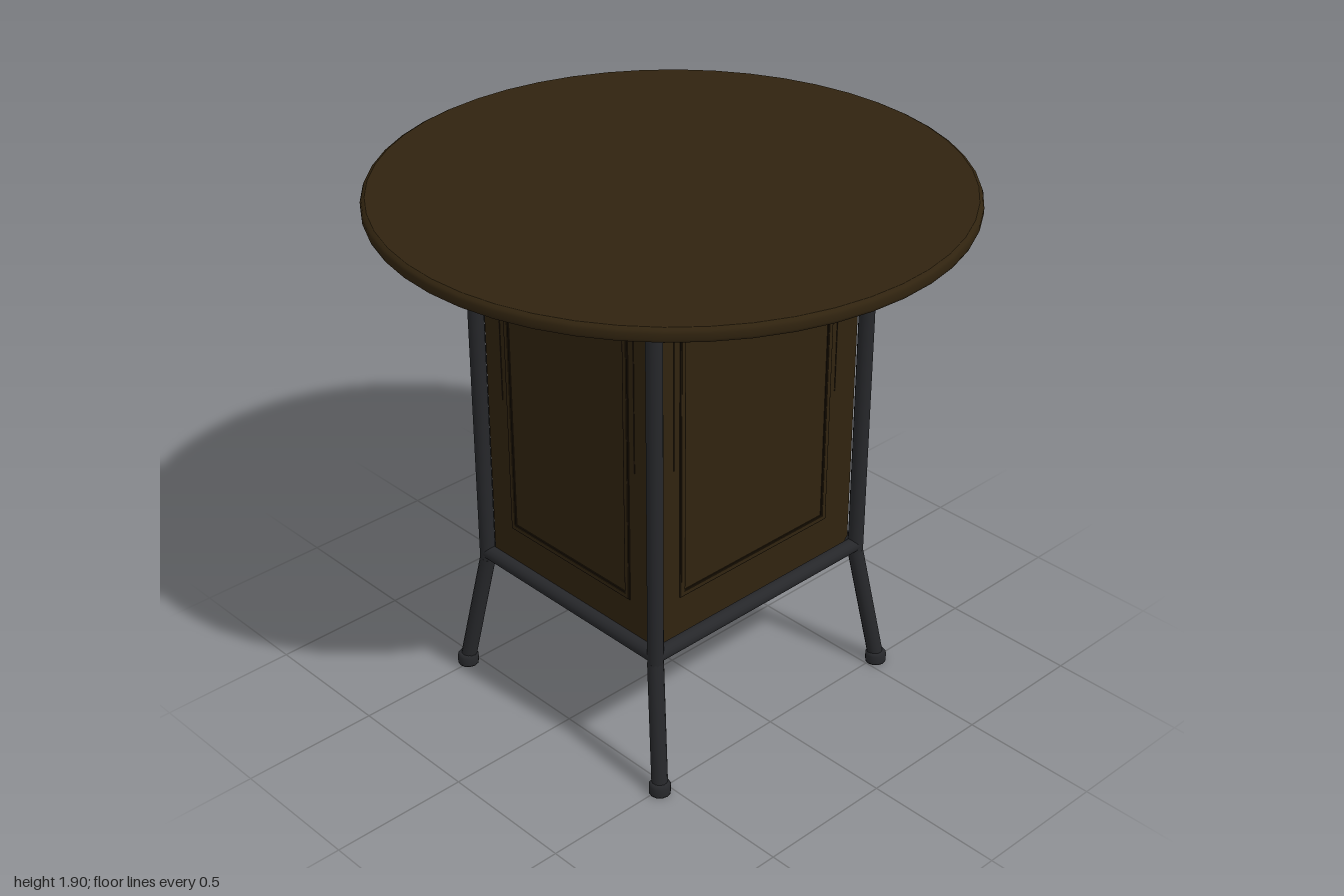
import * as THREE from 'three';

const wood = new THREE.MeshStandardMaterial({ color: 0x30230f });
wood.name = 'dark brown wood';
const groove = new THREE.MeshStandardMaterial({ color: 0x1e1508 });
groove.name = 'groove brown';
const metal = new THREE.MeshStandardMaterial({ color: 0x26272a });
metal.name = 'dark grey metal';

const LX = 0.432, LZ = 0.487, R = 0.028; // frame corner position, tube radius

function add(parent, name, geometry, material, x = 0, y = 0, z = 0) {
  const mesh = new THREE.Mesh(geometry, material);
  mesh.name = name;
  mesh.position.set(x, y, z);
  parent.add(mesh);
  return mesh;
}

// Straight tube between two points
function rod(parent, name, a, b, radius) {
  const dir = b.clone().sub(a);
  const mesh = add(parent, name, new THREE.CylinderGeometry(radius, radius, dir.length(), 12), metal);
  mesh.position.copy(a).add(b).multiplyScalar(0.5);
  mesh.quaternion.setFromUnitVectors(new THREE.Vector3(0, 1, 0), dir.normalize());
  return mesh;
}

// Flat rectangular ring with a thin depth
function ring(halfW, y0, y1, t, depth) {
  const rect = (Type, w, a, b) => new Type([
    new THREE.Vector2(-w, a), new THREE.Vector2(w, a), new THREE.Vector2(w, b), new THREE.Vector2(-w, b)]);
  const shape = rect(THREE.Shape, halfW, y0, y1);
  shape.holes.push(rect(THREE.Path, halfW - t, y0 + t, y1 - t));
  return new THREE.ExtrudeGeometry(shape, { depth, bevelEnabled: false });
}

// Moulding on one cabinet face, built facing +z
function panelTrim(name, half, distance, angle, band) {
  const g = new THREE.Group();
  g.name = name;
  add(g, 'mouldingOuterLine', ring(half, 0.65, 1.722, 0.005, 0.004), groove, 0, 0, distance);
  add(g, 'moulding', ring(half - 0.005, 0.655, 1.717, 0.013, 0.006), wood, 0, 0, distance);
  add(g, 'mouldingInnerLine', ring(half - 0.018, 0.668, 1.704, 0.005, 0.004), groove, 0, 0, distance);
  add(g, 'upperLine', new THREE.BoxGeometry(half * 2 + 0.05, 0.004, 0.004), groove, 0, 1.75, distance);
  for (const s of [-1, 1]) {
    add(g, 'sideLine', new THREE.BoxGeometry(0.004, 0.6, 0.004), groove, s * (half + 0.025), 1.45, distance);
  }
  // Worn grey band under the table top
  add(g, 'upperBand', new THREE.BoxGeometry(half * 2 + 0.2, band, 0.005), metal, 0, 1.838 - band / 2, distance);
  g.rotation.y = angle;
  return g;
}

export function createModel() {
  const model = new THREE.Group();
  model.name = 'roundTable';

  // Round top with softened rim
  const rim = [[0, 1.85], [0.985, 1.85], [0.996, 1.856], [1, 1.866], [1, 1.884], [0.996, 1.894], [0.985, 1.9], [0, 1.9]];
  const topProfile = rim.map(([x, y]) => new THREE.Vector2(x, y));
  const lower = new THREE.LatheGeometry(topProfile.slice(0, 2), 48);
  const edge = new THREE.LatheGeometry(topProfile.slice(1, 7), 48);
  const upper = new THREE.LatheGeometry(topProfile.slice(6), 48);
  add(model, 'tableTopUnderside', lower, wood);
  add(model, 'tableTopRim', edge, wood);
  add(model, 'tableTopSurface', upper, wood);

  // Cabinet body and its four trimmed faces
  add(model, 'cabinet', new THREE.BoxGeometry(0.804, 1.355, 0.95), wood, 0, 1.162, 0);
  for (const i of [0, 1]) {
    model.add(panelTrim(i ? 'backPanel' : 'frontPanel', 0.3, 0.475, i * Math.PI, 0.03));
    model.add(panelTrim(i ? 'leftPanel' : 'rightPanel', 0.35, 0.402, Math.PI / 2 + i * Math.PI, 0.075));
  }

  // Tubular legs: upright post, bend, splayed lower leg and foot
  for (const sx of [-1, 1]) for (const sz of [-1, 1]) {
    const leg = new THREE.Group();
    leg.name = 'leg';
    const bend = new THREE.Vector3(sx * LX, 0.47, sz * LZ);
    rod(leg, 'post', bend, new THREE.Vector3(sx * LX, 1.85, sz * LZ), R);
    add(leg, 'bend', new THREE.SphereGeometry(R, 12, 8), metal, bend.x, bend.y, bend.z);
    rod(leg, 'lowerLeg', bend, new THREE.Vector3(sx * 0.508, 0.02, sz * 0.541), R);
    const foot = [[0, 0], [0.037, 0], [0.038, 0.006], [0.038, 0.034], [0.03, 0.045], [0, 0.045]];
    add(leg, 'foot', new THREE.LatheGeometry(foot.map(([x, y]) => new THREE.Vector2(x, y)), 12),
      metal, sx * 0.508, 0, sz * 0.541);
    model.add(leg);
  }

  // Bottom rails
  const y = 0.497;
  for (const s of [-1, 1]) {
    rod(model, 'crossRail', new THREE.Vector3(-LX, y, s * LZ), new THREE.Vector3(LX, y, s * LZ), 0.027);
    rod(model, 'sideRail', new THREE.Vector3(s * LX, y, -LZ), new THREE.Vector3(s * LX, y, LZ), 0.027);
  }

  // Support bars under the top, with cut outer corners, and thin mounting strips
  for (const s of [-1, 1]) {
    const pts = [[0.5, -0.56], [0.53, -0.56], [0.61, -0.44], [0.61, 0.44], [0.53, 0.56], [0.5, 0.56]];
    const shape = new THREE.Shape(pts.map(([x, z]) => new THREE.Vector2(s * x, z)));
    const geo = new THREE.ExtrudeGeometry(shape, {
      depth: 0.04, bevelThickness: 0.01, bevelSize: 0.01, bevelSegments: 1 });
    geo.rotateX(-Math.PI / 2);
    add(model, 'supportBar', geo, metal, 0, 1.81, 0);
    add(model, 'mountingStrip', new THREE.BoxGeometry(0.075, 0.014, 1.17), metal, s * 0.437, 1.845, 0);
  }
  return model;
}
